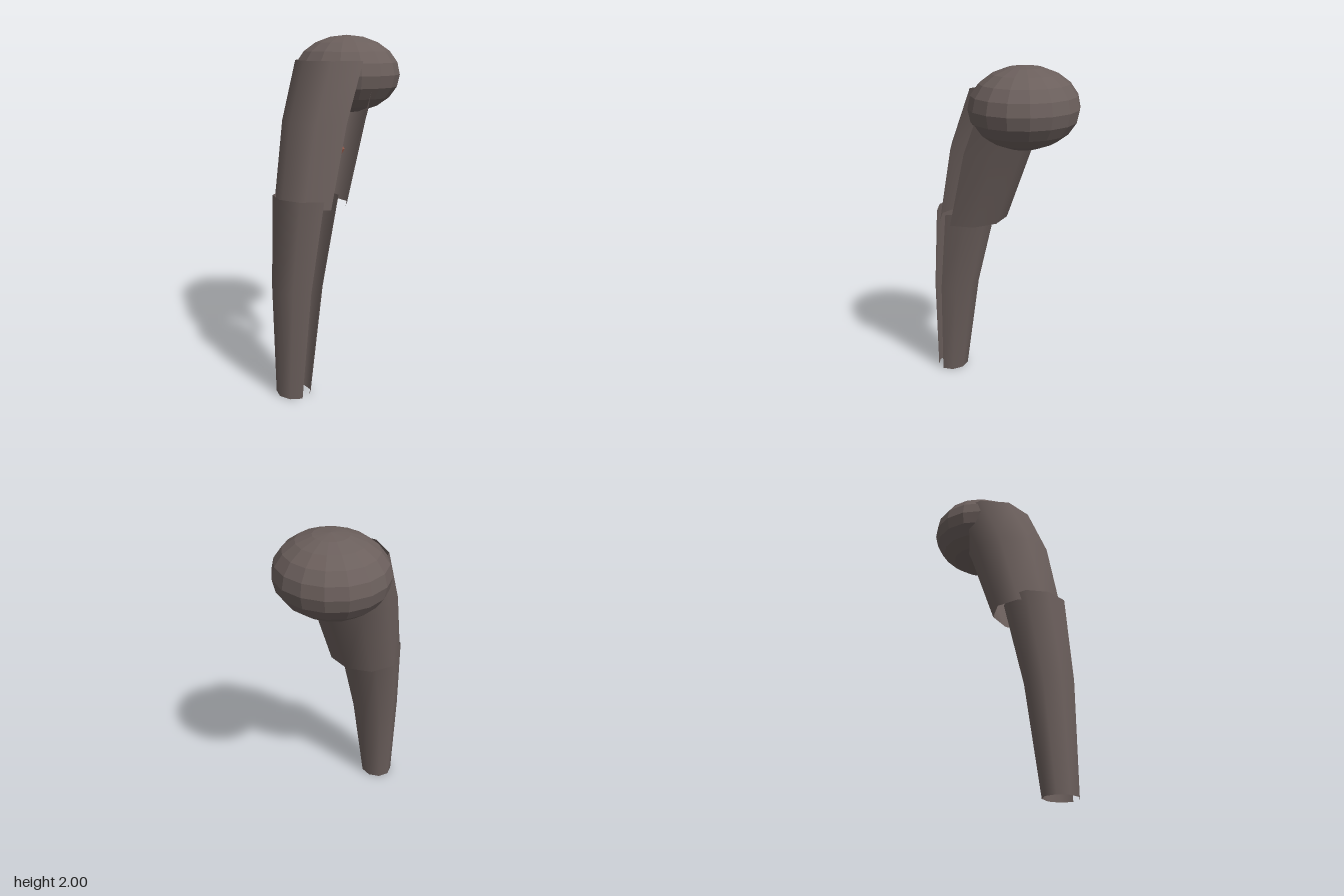
import * as THREE from 'three';

const paint = (color, options = {}) => new THREE.MeshStandardMaterial({ color, ...options });
const SIDES = 8;

// Open sleeve with a narrow slot along its +x side.
// Each ring is [y, centre z, radius in x, radius in z], from bottom to top.
function slottedSleeve(name, rings, material) {
  const start = THREE.MathUtils.degToRad(61.5);
  const step = THREE.MathUtils.degToRad(41);
  const positions = [];
  const index = [];
  for (const [y, z, rx, rz] of rings) {
    for (let i = 0; i <= SIDES; i++) {
      const a = start - i * step;
      positions.push(rx * Math.sin(a), y, z + rz * Math.cos(a));
    }
  }
  const row = SIDES + 1;
  for (let j = 0; j < rings.length - 1; j++) {
    for (let i = 0; i < SIDES; i++) {
      const a = j * row + i;
      index.push(a, a + row, a + 1, a + row, a + row + 1, a + 1);
    }
  }
  const geometry = new THREE.BufferGeometry();
  geometry.setAttribute('position', new THREE.Float32BufferAttribute(positions, 3));
  geometry.setIndex(index);
  geometry.computeVertexNormals();
  const mesh = new THREE.Mesh(geometry, material);
  mesh.name = name;
  return mesh;
}

export function createModel() {
  const model = new THREE.Group();
  model.name = 'armoredArm';
  const shell = paint(0x6b5f5c, { side: THREE.DoubleSide });

  // Tapered lower sleeve, bending back towards the elbow
  model.add(slottedSleeve('lowerSleeve', [
    [0, 0.393, 0.103, 0.093],
    [0.62, 0.342, 0.15, 0.132],
    [1.13, 0.25, 0.195, 0.17],
  ], shell));

  // Wider upper sleeve, leaning back into the shoulder
  model.add(slottedSleeve('upperSleeve', [
    [1.08, 0.196, 0.215, 0.196],
    [1.53, 0.057, 0.242, 0.237],
    [1.86, -0.1, 0.255, 0.245],
  ], shell));

  // Flattened faceted shoulder cap
  const shoulder = new THREE.Mesh(
    new THREE.SphereGeometry(1, 16, 10).scale(0.315, 0.2225, 0.297),
    paint(0x6b5f5c, { flatShading: true }),
  );
  shoulder.name = 'shoulderCap';
  shoulder.position.set(0, 1.7775, -0.183);
  model.add(shoulder);

  // Small faceted core, seen through the slot
  const core = new THREE.Mesh(
    new THREE.IcosahedronGeometry(0.105, 0),
    paint(0x94594a, { flatShading: true }),
  );
  core.name = 'elbowCore';
  core.position.set(0, 1.365, 0.037);
  model.add(core);

  return model;
}
